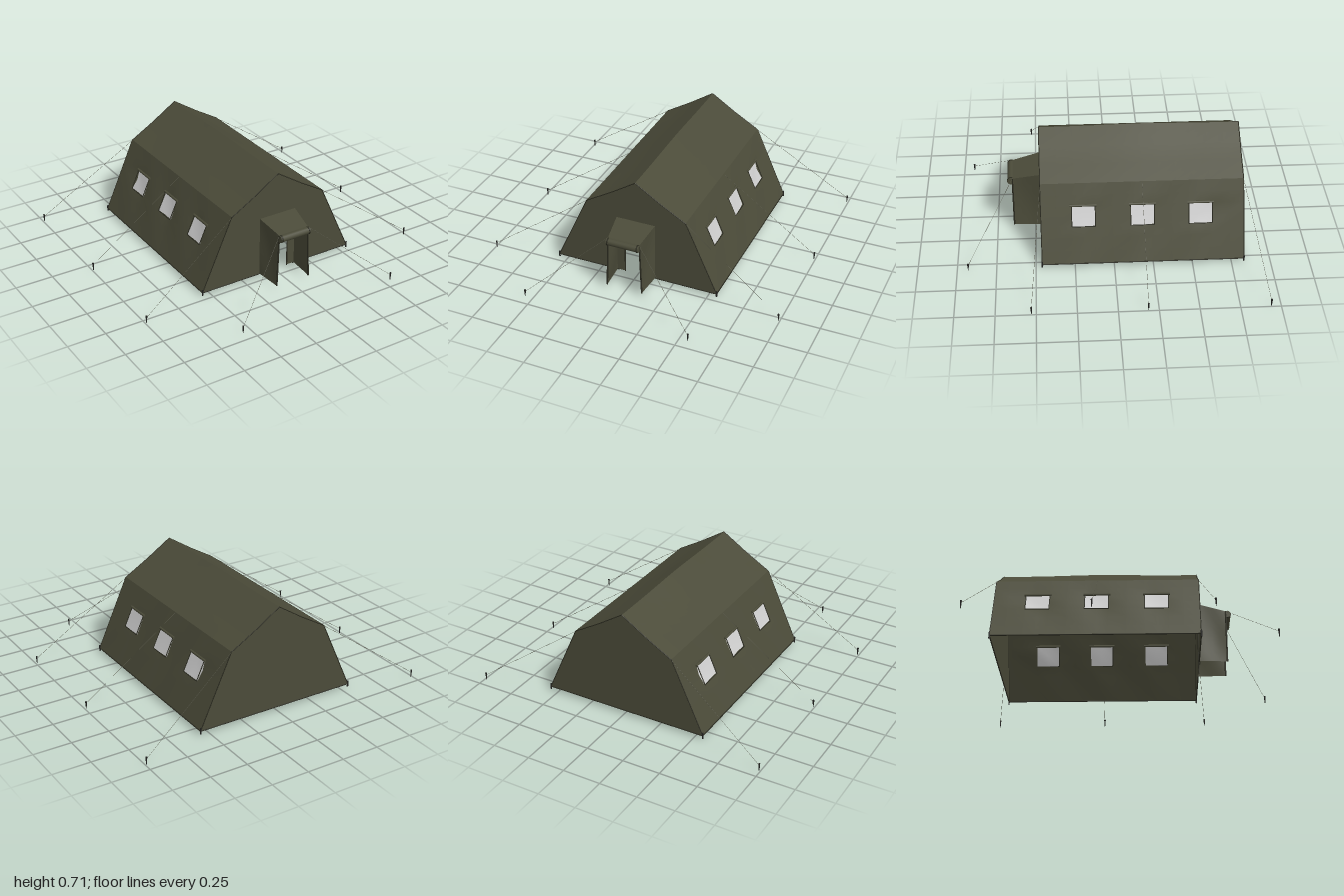
import * as THREE from 'three';

const FRONT = 0.46, BACK = -0.83, BASE = 0.025;
const WINDOWS = [0.19, -0.185, -0.555];

function material(name, color) {
  const m = new THREE.MeshStandardMaterial({ color, side: THREE.DoubleSide });
  m.name = name;
  return m;
}

export function createModel() {
  const tent = new THREE.Group();
  tent.name = 'tent';
  const canvas = material('olive canvas', 0x4b4b39);
  const hemMat = material('dark hem', 0x2b2b20);
  const gauze = material('pale window gauze', 0xcfcfcf);
  const ropeMat = material('guy rope', 0x5a5a4c);
  const pegMat = material('peg metal', 0x222220);

  function add(geometry, mat, name) {
    const mesh = new THREE.Mesh(geometry, mat);
    mesh.name = name;
    tent.add(mesh);
    return mesh;
  }
  // Thin rod between two points
  function rod(a, b, r, mat, name, sides = 6) {
    const p = new THREE.Vector3(...a), q = new THREE.Vector3(...b);
    const mesh = add(new THREE.CylinderGeometry(r, r, p.distanceTo(q), sides), mat, name);
    mesh.position.copy(p).lerp(q, 0.5);
    mesh.quaternion.setFromUnitVectors(new THREE.Vector3(0, 1, 0), q.sub(p).normalize());
  }
  // Cloth grid: point(u, v) gives a position, cells chosen by isWindow become gauze
  function cloth(us, vs, point, name, isWindow = () => false) {
    const pos = [], solid = [], clear = [], n = vs.length;
    us.forEach(u => vs.forEach(v => pos.push(...point(u, v))));
    for (let i = 0; i < us.length - 1; i++) {
      for (let j = 0; j < n - 1; j++) {
        const a = i * n + j, b = a + n;
        const list = isWindow((us[i] + us[i + 1]) / 2, (vs[j] + vs[j + 1]) / 2) ? clear : solid;
        list.push(a, a + 1, b, b, a + 1, b + 1);
      }
    }
    const g = new THREE.BufferGeometry();
    g.setAttribute('position', new THREE.Float32BufferAttribute(pos, 3));
    g.setIndex([...solid, ...clear]);
    g.addGroup(0, solid.length, 0);
    g.addGroup(solid.length, clear.length, 1);
    g.computeVertexNormals();
    return add(g, [canvas, gauze], name);
  }

  const spread = (n) => Array.from({ length: n + 1 }, (_, i) => i / n);
  const wallX = (y) => 0.555 - (y - BASE) * 0.453;
  const inWindow = (y, z) => y > 0.245 && y < 0.365 && WINDOWS.some(c => Math.abs(z - c) < 0.075);
  const wallYs = [BASE, 0.1, 0.18, 0.245, 0.305, 0.365, 0.43, 0.5];
  const wallZs = [BACK, -0.74, -0.37, 0.005, 0.36, FRONT];
  WINDOWS.forEach(c => wallZs.push(c - 0.075, c, c + 0.075));
  wallZs.sort((a, b) => a - b);

  for (const s of [1, -1]) {
    const side = s > 0 ? 'left' : 'right';
    // Sloping wall with slack cloth and three gauze windows
    cloth(wallYs, wallZs, (y, z) => {
      const slack = Math.sin(Math.PI * (y - BASE) / 0.475) * Math.sin(Math.PI * (z - BACK) / (FRONT - BACK));
      const dent = inWindow(y, z) ? 0.012 : 0;
      return [s * (wallX(y) + 0.006 * slack * Math.sin(z * 17 + y * 9 + s) - dent), y, z];
    }, side + 'Wall', inWindow);

    // Roof slope, kinked halfway and slightly raised in the middle
    cloth(spread(6), spread(12), (u, v) => {
      const x = 0.34 * (1 - u);
      const y = u < 0.5 ? 0.5 + 0.2 * u : 0.6 + 0.22 * (u - 0.5);
      const lift = 0.008 * u * Math.sin(Math.PI * v) ** 4;
      return [s * x, y - 0.003 + lift, BACK + v * (FRONT - BACK)];
    }, side + 'Roof');

    // Rolled window flaps and window borders
    for (const z of WINDOWS) {
      const x = y => s * (wallX(y) + 0.004);
      rod([x(0.372), 0.37, z - 0.085], [x(0.372), 0.37, z + 0.085], 0.008, canvas, 'windowFlapRoll', 8);
      rod([x(0.245), 0.245, z - 0.075], [x(0.245), 0.245, z + 0.075], 0.003, hemMat, 'windowSill');
      for (const e of [-0.075, 0.075]) {
        rod([x(0.245), 0.245, z + e], [x(0.365), 0.365, z + e], 0.003, hemMat, 'windowEdge');
      }
    }
    // Ground hem and corner stakes
    rod([s * 0.555, BASE, BACK], [s * 0.555, BASE, FRONT], 0.004, hemMat, 'groundHem');
    for (const z of [FRONT, BACK]) {
      rod([s * 0.555, 0.005, z], [s * 0.555, 0.045, z], 0.005, pegMat, 'cornerStake');
      rod([s * 0.555, BASE, z], [s * 0.34, 0.497, z], 0.003, hemMat, 'endSeam');
      rod([s * 0.34, 0.497, z], [s * 0.17, 0.597, z], 0.003, hemMat, 'endSeam');
      rod([s * 0.17, 0.597, z], [0, 0.707, z], 0.003, hemMat, 'endSeam');
    }
  }

  // End walls, the front one with a doorway
  function endWall(z, door, name) {
    const outline = door
      ? [[0.075, BASE], [0.075, 0.34], [-0.075, 0.34], [-0.075, BASE]].reverse() : [];
    const points = [[0.555, BASE], [0.34, 0.497], [0.17, 0.597], [0, 0.707],
      [-0.17, 0.597], [-0.34, 0.497], [-0.555, BASE], ...outline];
    const shape = new THREE.Shape(points.map(p => new THREE.Vector2(...p)));
    add(new THREE.ShapeGeometry(shape), canvas, name).position.z = z;
    const edges = door ? [[-0.555, -0.12], [0.12, 0.555]] : [[-0.555, 0.555]];
    edges.forEach(([a, b]) => rod([a, BASE, z], [b, BASE, z], 0.004, hemMat, 'endHem'));
  }
  endWall(FRONT, true, 'frontWall');
  endWall(BACK, false, 'backWall');

  // Entrance porch: tapering sides, sloping roof, lintel and rolled door
  for (const s of [1, -1]) {
    cloth(spread(6), spread(4), (u, v) => {
      const top = 0.425 - 0.04 * v, narrow = 0.132 - v * (0.012 + 0.013 * u);
      const fold = 0.014 * Math.sin(Math.PI * v) * Math.sin(Math.PI * u);
      return [s * (narrow - fold), BASE + u * (top - BASE), FRONT + 0.18 * v];
    }, 'porchSide');
    rod([s * 0.12, BASE, 0.64], [s * 0.107, 0.385, 0.64], 0.005, hemMat, 'porchFrontEdge');
    rod([s * 0.075, BASE, FRONT + 0.004], [s * 0.075, 0.34, FRONT + 0.004], 0.004, hemMat, 'doorwayEdge');
  }
  cloth(spread(2), spread(4), (u, v) =>
    [(u * 2 - 1) * (0.132 - 0.025 * v), 0.425 - 0.04 * v, FRONT + 0.18 * v], 'porchRoof');
  const lintel = add(new THREE.BoxGeometry(0.214, 0.05, 0.008), canvas, 'porchLintel');
  lintel.position.set(0, 0.362, 0.64);
  rod([-0.11, 0.365, 0.65], [0.11, 0.365, 0.65], 0.023, canvas, 'rolledDoor', 14);
  for (const x of [-0.1, 0.1]) {
    rod([x - 0.004, 0.365, 0.65], [x + 0.004, 0.365, 0.65], 0.025, hemMat, 'doorRollStrap', 14);
  }

  // Guy ropes and pegs: [anchor, peg], mirrored
  const guys = [
    [[0.34, 0.495, FRONT], [0.99, 0.035, 0.53]],
    [[0.34, 0.495, -0.185], [0.99, 0.035, -0.185]],
    [[0.34, 0.495, BACK], [0.99, 0.035, -0.94]],
    [[0.107, 0.385, 0.64], [0.555, 0.035, 0.93]],
  ];
  for (const s of [1, -1]) {
    for (const [a, p] of guys) {
      rod([s * a[0], a[1], a[2]], [s * p[0], p[1], p[2]], 0.001, ropeMat, 'guyRope', 4);
      const peg = add(new THREE.CylinderGeometry(0.006, 0.002, 0.05, 6), pegMat, 'peg');
      peg.position.set(s * p[0], 0.025, p[2]);
    }
  }
  return tent;
}
